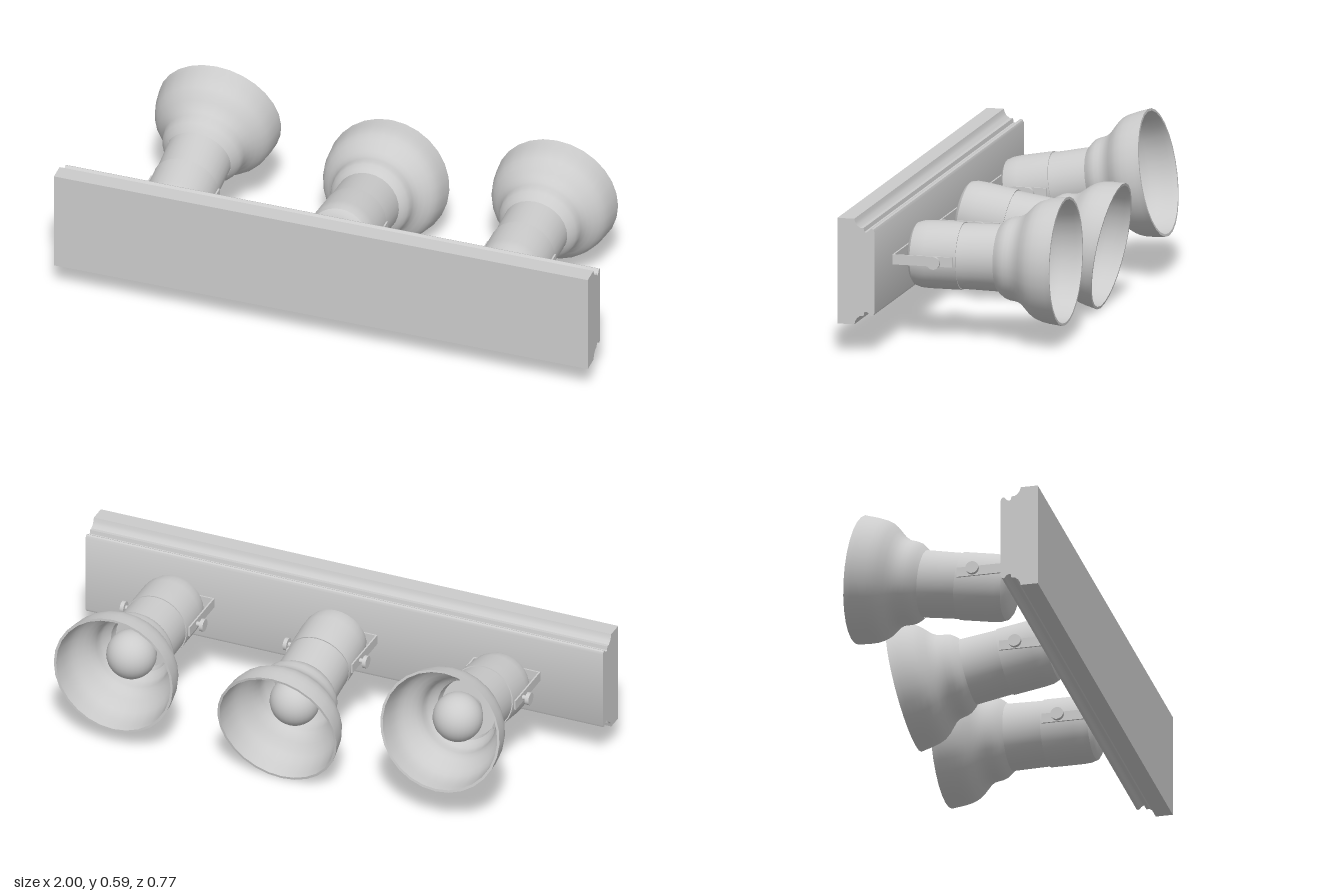
import * as THREE from 'three';
import { toCreasedNormals } from 'three/addons/utils/BufferGeometryUtils.js';

const grey = new THREE.MeshStandardMaterial({ color: 0xcccccc });
const MID_Y = 0.305;   // height of the rail's centre line and the lamp pivots
const PIVOT_Z = 0.055; // lamps tilt about this depth

function add(parent, name, geometry, x = 0, y = 0, z = 0) {
  const mesh = new THREE.Mesh(geometry, grey);
  mesh.name = name;
  mesh.position.set(x, y, z);
  parent.add(mesh);
  return mesh;
}

// Turned part: [radius, z] pairs, spun about the lamp axis and placed relative to the pivot
function turned(points, crease = 0.6) {
  const profile = points.map(([r, z]) => new THREE.Vector2(r, PIVOT_Z - z));
  const g = new THREE.LatheGeometry(profile, 28).rotateX(-Math.PI / 2);
  return toCreasedNormals(g, crease);
}

// Wall rail: moulded section, mirrored top to bottom, extruded along x
function railGeometry() {
  const half = [
    [0.386, 0.191], [0.324, 0.191], [0.320, 0.178], [0.314, 0.168], [0.302, 0.159],
    [0.290, 0.159], [0.287, 0.145], [0.281, 0.143], [0.271, 0.148], [0.265, 0.156],
    [0.260, 0.158], [0.254, 0.155], [0.250, 0.146],
  ];
  const lower = half.map(([z, y]) => [z, -y]).reverse();
  const shape = new THREE.Shape([...half, ...lower].map(([z, y]) => new THREE.Vector2(-z, y)));
  const g = new THREE.ExtrudeGeometry(shape, { depth: 2, bevelEnabled: false });
  return toCreasedNormals(g.translate(0, 0, -1).rotateY(Math.PI / 2), 0.6);
}

// Tilting head: housing, neck, flared shade and bulb
function makeHead(tilt) {
  const head = new THREE.Group();
  head.name = 'lampHead';
  head.rotation.x = tilt;

  add(head, 'housing', turned([
    [0, 0.21], [0.08, 0.208], [0.099, 0.202], [0.112, 0.192], [0.119, 0.17],
    [0.121, 0.14], [0.121, 0.022], [0.116, 0.022],
  ]));
  add(head, 'neck', turned([[0.117, 0.03], [0.118, -0.03], [0.12, -0.125]]));

  const flare = [
    [0.121, -0.115], [0.133, -0.128], [0.144, -0.143], [0.149, -0.158], [0.151, -0.175],
    [0.155, -0.19], [0.165, -0.207], [0.180, -0.222], [0.198, -0.24], [0.211, -0.258],
    [0.219, -0.28], [0.224, -0.305], [0.227, -0.33], [0.230, -0.352],
  ];
  const inside = flare.map(([r, z]) => [r - 0.009, z]).reverse();
  add(head, 'shade', turned([...flare, ...inside, [0.108, -0.08], [0, -0.08]]));

  add(head, 'bulb', new THREE.SphereGeometry(0.09, 28, 18), 0, 0, -0.19 - PIVOT_Z);
  add(head, 'bulbNeck', turned([[0.045, -0.075], [0.05, -0.11], [0.07, -0.135]]));
  return head;
}

// Fixed U bracket with a thumb screw on each side
function makeBracket() {
  const bracket = new THREE.Group();
  bracket.name = 'bracket';
  add(bracket, 'bracketBase', new THREE.BoxGeometry(0.258, 0.036, 0.006), 0, 0, 0.247);
  for (const side of [-1, 1]) {
    add(bracket, 'bracketArm', new THREE.BoxGeometry(0.006, 0.036, 0.22), side * 0.126, 0, 0.14);
    const rod = new THREE.CylinderGeometry(0.009, 0.009, 0.035, 16).rotateZ(Math.PI / 2);
    add(bracket, 'screwRod', rod, side * 0.1315, 0, 0.093);
    const knob = new THREE.CylinderGeometry(0.023, 0.023, 0.014, 24).rotateZ(Math.PI / 2);
    add(bracket, 'screwKnob', knob, side * 0.153, 0, 0.093);
  }
  return bracket;
}

export function createModel() {
  const model = new THREE.Group();
  model.name = 'spotlightRail';
  add(model, 'rail', railGeometry(), 0, MID_Y, 0);

  // Three lamps: tilted up, tilted down, level
  [[-0.63, 10], [0, -10], [0.63, 0]].forEach(([x, degrees]) => {
    const lamp = new THREE.Group();
    lamp.name = 'lamp';
    lamp.position.set(x, MID_Y, 0);
    const head = makeHead(THREE.MathUtils.degToRad(degrees));
    head.position.z = PIVOT_Z;
    lamp.add(head, makeBracket());
    model.add(lamp);
  });
  return model;
}
